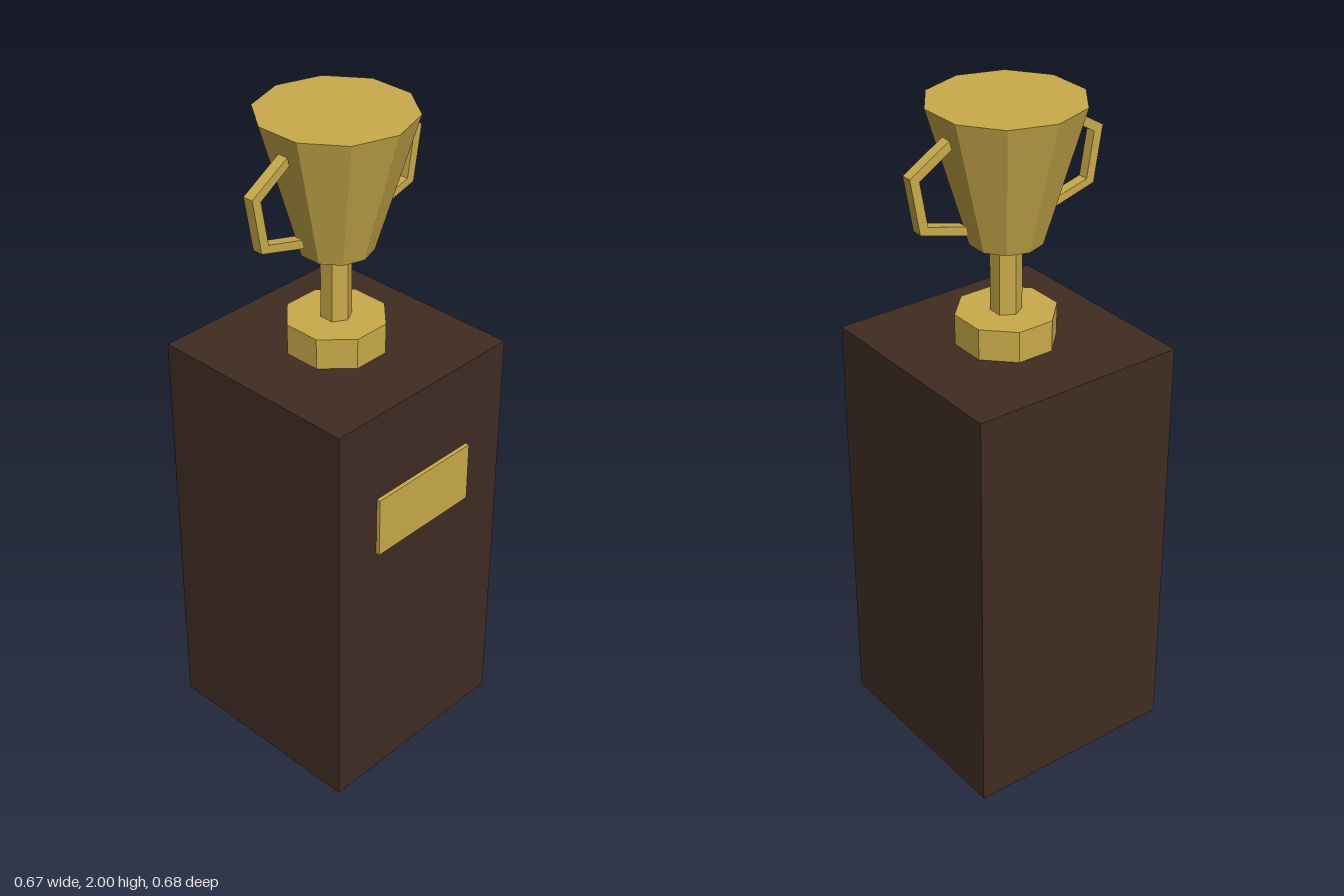
import * as THREE from 'three';

export function createModel() {
  const model = new THREE.Group();
  model.name = 'trophyOnPlinth';
  const gold = new THREE.MeshStandardMaterial({ name: 'gold', color: 0xc9aa4a, flatShading: true });
  const wood = new THREE.MeshStandardMaterial({ name: 'darkWood', color: 0x402c23, flatShading: true });
  const cz = -0.006; // depth axis shared by plinth and trophy

  const add = (name, geometry, material, x, y, z) => {
    const mesh = new THREE.Mesh(geometry, material);
    mesh.name = name;
    mesh.position.set(x, y, z);
    model.add(mesh);
    return mesh;
  };
  // Faceted drum standing between two heights
  const drum = (name, rTop, rBottom, y0, y1, sides) =>
    add(name, new THREE.CylinderGeometry(rTop, rBottom, y1 - y0, sides), gold, 0, (y0 + y1) / 2, cz);

  // Plinth with its plaque
  add('plinth', new THREE.BoxGeometry(0.666, 1.297, 0.666), wood, 0, 0.6485, cz);
  add('plaque', new THREE.BoxGeometry(0.37, 0.187, 0.012), gold, 0, 0.9285, 0.333);

  // Foot, stem and cup
  drum('foot', 0.147, 0.147, 1.297, 1.39, 8).rotation.y = Math.PI / 8;
  drum('stem', 0.045, 0.045, 1.39, 1.6, 6);
  drum('cup', 0.222, 0.105, 1.6, 2, 10);

  // Angular handles, one outline mirrored to both sides
  const outline = [
    [0.18, 1.944], [0.318, 1.861], [0.29, 1.698], [0.137, 1.655],
    [0.142, 1.682], [0.265, 1.715], [0.288, 1.847], [0.18, 1.914],
  ];
  for (const [name, side] of [['leftHandle', 1], ['rightHandle', -1]]) {
    const shape = new THREE.Shape(outline.map(([x, y]) => new THREE.Vector2(x * side, y)));
    const geometry = new THREE.ExtrudeGeometry(shape, { depth: 0.032, bevelEnabled: false });
    add(name, geometry, gold, 0, 0, cz - 0.016);
  }
  return model;
}
